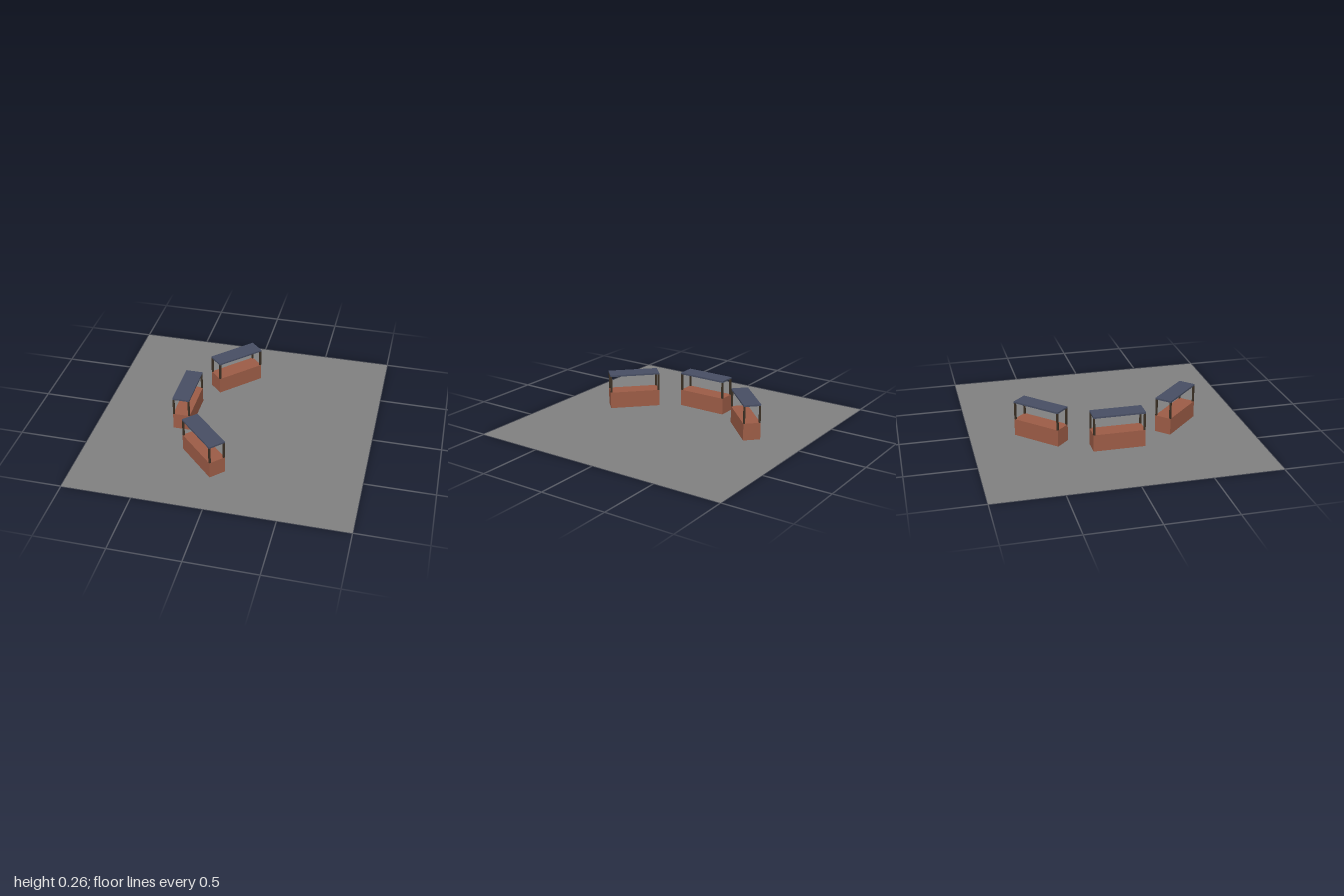
import * as THREE from 'three';

const mat = (color) => new THREE.MeshStandardMaterial({ color });

const W = 0.125, L = 0.375, COUNTER_H = 0.125, POST_H = 0.125, T = 0.0125;

function box(name, w, h, d, x, y, z, material) {
  const mesh = new THREE.Mesh(new THREE.BoxGeometry(w, h, d), material);
  mesh.name = name;
  mesh.position.set(x, y, z);
  return mesh;
}

export function createModel() {
  const model = new THREE.Group();
  model.name = 'marketSquare';
  const brick = mat(0x9c5c46), wood = mat(0x3b3024), slate = mat(0x474e63);

  // Flat paved square, visible from both sides
  const groundMat = mat(0x808080);
  groundMat.side = THREE.DoubleSide;
  const ground = new THREE.Mesh(new THREE.PlaneGeometry(2, 2), groundMat);
  ground.name = 'pavement';
  ground.rotation.x = -Math.PI / 2;
  model.add(ground);

  // Stall: solid counter, four corner posts, flat roof
  function stall(x, z, angle) {
    const g = new THREE.Group();
    g.name = 'stall';
    g.add(box('counter', W, COUNTER_H, L, 0, COUNTER_H / 2, 0, brick));
    for (const sx of [-1, 1]) {
      for (const sz of [-1, 1]) {
        g.add(box('post', T, POST_H, T,
          sx * (W - T) / 2, COUNTER_H + POST_H / 2, sz * (L - T) / 2, wood));
      }
    }
    g.add(box('roof', W, T, L, 0, COUNTER_H + POST_H + T / 2, 0, slate));
    g.position.set(x, 0, z);
    g.rotation.y = angle;
    return g;
  }

  // Three stalls in an arc
  model.add(stall(-0.375, 0, 0));
  for (const s of [-1, 1]) model.add(stall(-0.125, s * 0.5, s * Math.PI / 4));
  return model;
}
